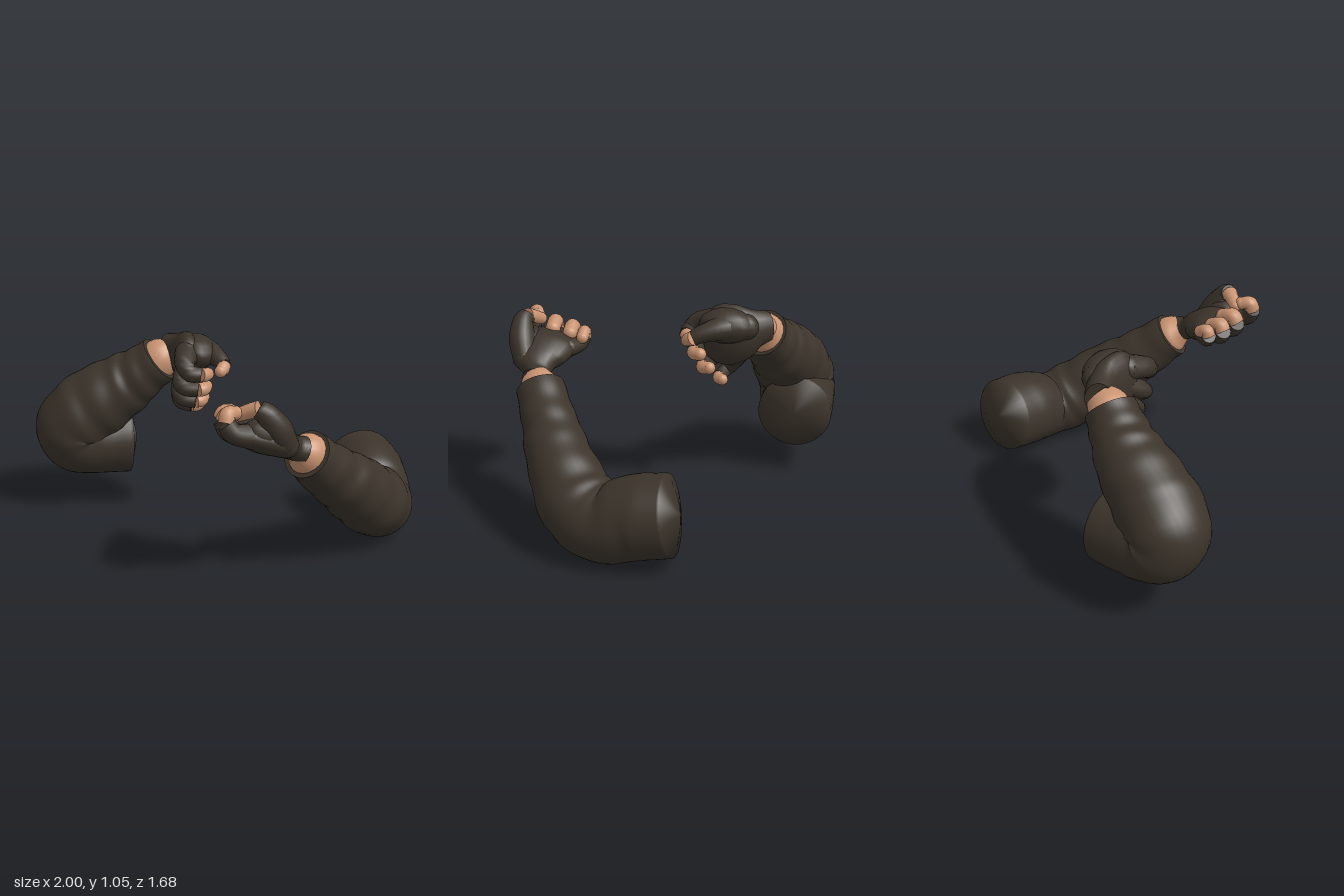
import * as THREE from 'three';
import { mergeGeometries } from 'three/addons/utils/BufferGeometryUtils.js';

const cloth = new THREE.MeshStandardMaterial({ color: 0x3c342b });
cloth.name = 'dark cloth';
const skin = new THREE.MeshStandardMaterial({ color: 0xc99371 });
skin.name = 'skin';

// Lofts elliptical rings along a smooth path. Each row: x, y, z, radius along axis, other radius.
function loft(rows, axis, { rings = 24, sides = 20, fold = 0, bulge = 0 } = {}) {
  const path = new THREE.CatmullRomCurve3(rows.map(r => new THREE.Vector3(r[0], r[1], r[2])), false, 'catmullrom', 0.5);
  const size = new THREE.CatmullRomCurve3(rows.map(r => new THREE.Vector3(r[3], r[4] ?? r[3], 0)), false, 'catmullrom', 0.5);
  const pos = [], idx = [], ref = new THREE.Vector3(...axis).normalize();
  const ends = [];
  for (let i = 0; i <= rings; i++) {
    const t = i / rings, c = path.getPoint(t), s = size.getPoint(t), T = path.getTangent(t);
    const u = ref.clone().addScaledVector(T, -ref.dot(T)).normalize();
    const v = new THREE.Vector3().crossVectors(T, u);
    if (i === 0 || i === rings) ends.push([c, T]);
    for (let j = 0; j < sides; j++) {
      const a = j / sides * Math.PI * 2;
      // cloth folds grow toward the cuff
      const k = 1 + fold * Math.min(1, t * 1.6) * (Math.sin(t * 52 + 1.6 * Math.sin(a + 1)) + 0.5 * Math.sin(t * 31 + 2 * a));
      const p = c.clone()
        .addScaledVector(u, Math.cos(a) * Math.max(s.x, 0.003) * k)
        .addScaledVector(v, Math.sin(a) * Math.max(s.y, 0.003) * k);
      pos.push(p.x, p.y, p.z);
    }
  }
  for (let i = 0; i < rings; i++) for (let j = 0; j < sides; j++) {
    const a = i * sides + j, b = i * sides + (j + 1) % sides;
    idx.push(a, b, a + sides, b, b + sides, a + sides);
  }
  // end caps: a bulging start shares its rim for soft shading, flat ends stay crisp
  ends.forEach(([c, T], e) => {
    let rim = e ? rings * sides : 0;
    if (e || !bulge) {
      const copy = pos.slice(rim * 3, (rim + sides) * 3);
      rim = pos.length / 3;
      pos.push(...copy);
    }
    const centre = pos.length / 3, m = c.clone().addScaledVector(T, e ? 0 : -bulge);
    pos.push(m.x, m.y, m.z);
    for (let j = 0; j < sides; j++) {
      const a = rim + j, b = rim + (j + 1) % sides;
      idx.push(centre, e ? a : b, e ? b : a);
    }
  });
  const g = new THREE.BufferGeometry();
  g.setAttribute('position', new THREE.Float32BufferAttribute(pos, 3));
  g.setIndex(idx);
  g.computeVertexNormals();
  // rounded shading over the bulging end
  if (bulge) for (let j = 0; j < sides; j++) {
    const n = new THREE.Vector3().fromArray(pos, j * 3).sub(ends[0][0]).normalize().addScaledVector(ends[0][1], -0.5).normalize();
    g.attributes.normal.setXYZ(j, n.x, n.y, n.z);
  }
  return g;
}

function add(group, name, geometry, material) {
  const m = new THREE.Mesh(geometry, material);
  m.name = name;
  group.add(m);
}

function ball(p, rx, ry = rx, rz = rx) {
  const g = new THREE.SphereGeometry(1, 16, 10).scale(rx, ry, rz).translate(p[0], p[1], p[2]);
  g.deleteAttribute('uv');
  return g;
}

// Finger: glove up to the third row from the end, then bare skin with a round tip.
function finger(group, name, rows, axis) {
  const opt = { rings: 10, sides: 12 }, split = rows.length - 3;
  add(group, name + 'Glove', mergeGeometries([loft(rows.slice(0, split + 1), axis, opt), ball(rows[0], rows[0][3])]), cloth);
  const bare = rows.slice(split).map(r => [r[0], r[1], r[2], r[3] * 0.95]);
  const tip = bare[bare.length - 1];
  add(group, name + 'Tip', mergeGeometries([loft(bare, axis, opt), ball(tip, tip[3])]), skin);
}

function buildArm(name, d) {
  const g = new THREE.Group();
  g.name = name;
  add(g, 'sleeve', loft(d.sleeve, d.sleeveAxis, { rings: 72, sides: 36, fold: 0.02, bulge: 0.05 }), cloth);
  add(g, 'wrist', loft(d.wrist, d.sleeveAxis, { rings: 8 }), skin);
  add(g, 'glovePalm', loft(d.palm, d.palmAxis), cloth);
  add(g, 'thumbWeb', ball(d.web, ...d.web.slice(3)), cloth);
  for (const [key, rows] of Object.entries(d.fingers)) finger(g, key, rows, d.fingerAxis);
  return g;
}

const leftArm = {
  sleeveAxis: [0.6, 0.8, 0],
  sleeve: [
    [0.79, 0.262, -0.215, 0.205], [0.79, 0.235, -0.05, 0.21], [0.785, 0.185, 0.12, 0.183, 0.2], [0.705, 0.235, 0.27, 0.19, 0.2],
    [0.55, 0.38, 0.41, 0.172], [0.4, 0.51, 0.51, 0.145], [0.25, 0.655, 0.61, 0.125],
  ],
  wrist: [[0.28, 0.63, 0.59, 0.11], [0.235, 0.67, 0.62, 0.1], [0.19, 0.7, 0.64, 0.065]],
  palmAxis: [0, 0.08, 1],
  palm: [
    [0.22, 0.69, 0.64, 0.078, 0.07], [0.17, 0.71, 0.65, 0.07, 0.062], [0.1, 0.755, 0.67, 0.135, 0.075],
    [0, 0.795, 0.67, 0.165, 0.085], [-0.08, 0.815, 0.655, 0.155, 0.065], [-0.12, 0.825, 0.645, 0.11, 0.04],
    [-0.135, 0.83, 0.64, 0.01, 0.01],
  ],
  web: [0.0, 0.83, 0.755, 0.11, 0.08, 0.075],
  fingerAxis: [0, 0, 1],
  fingers: {
    thumb: [[0.11, 0.76, 0.74, 0.065], [0.06, 0.85, 0.77, 0.072], [0.005, 0.93, 0.78, 0.056], [-0.03, 0.952, 0.765, 0.046], [-0.065, 0.942, 0.745, 0.04], [-0.11, 0.92, 0.72, 0.035]],
    index: [[-0.06, 0.82, 0.76, 0.062], [-0.15, 0.85, 0.785, 0.051], [-0.185, 0.9, 0.778, 0.044], [-0.175, 0.94, 0.765, 0.04], [-0.135, 0.935, 0.74, 0.036]],
    middle: [[-0.06, 0.805, 0.67, 0.06], [-0.14, 0.815, 0.665, 0.052], [-0.175, 0.86, 0.655, 0.046], [-0.15, 0.897, 0.65, 0.044], [-0.088, 0.876, 0.645, 0.043]],
    ring: [[-0.05, 0.8, 0.59, 0.055], [-0.135, 0.805, 0.565, 0.048], [-0.165, 0.845, 0.552, 0.045], [-0.145, 0.878, 0.552, 0.043], [-0.088, 0.856, 0.55, 0.042]],
    pinky: [[-0.03, 0.79, 0.54, 0.05], [-0.1, 0.795, 0.5, 0.042], [-0.13, 0.83, 0.478, 0.038], [-0.115, 0.862, 0.475, 0.036], [-0.07, 0.84, 0.475, 0.035]],
  },
};

const rightArm = {
  sleeveAxis: [0, 0, 1],
  sleeve: [
    [-0.47, 0.365, -0.635, 0.205], [-0.62, 0.372, -0.63, 0.205], [-0.755, 0.4, -0.61, 0.217, 0.212], [-0.775, 0.485, -0.595, 0.218, 0.213],
    [-0.66, 0.597, -0.573, 0.208], [-0.5, 0.708, -0.54, 0.177], [-0.4, 0.785, -0.505, 0.148], [-0.305, 0.865, -0.47, 0.13],
  ],
  wrist: [[-0.34, 0.83, -0.48, 0.115], [-0.285, 0.88, -0.475, 0.107], [-0.235, 0.915, -0.475, 0.075]],
  palmAxis: [0, 0.95, 0.2],
  palm: [
    [-0.255, 0.915, -0.5, 0.085, 0.068], [-0.215, 0.915, -0.45, 0.1, 0.072], [-0.18, 0.9, -0.38, 0.15, 0.077],
    [-0.175, 0.88, -0.29, 0.17, 0.08], [-0.185, 0.87, -0.22, 0.145, 0.068], [-0.195, 0.87, -0.18, 0.09, 0.04],
    [-0.2, 0.865, -0.165, 0.01, 0.01],
  ],
  web: [-0.125, 0.945, -0.3, 0.105, 0.094, 0.15],
  fingerAxis: [0, 1, 0],
  fingers: {
    thumb: [[-0.14, 0.94, -0.4, 0.07], [-0.07, 0.945, -0.29, 0.066], [-0.025, 0.925, -0.2, 0.05], [-0.008, 0.9, -0.145, 0.041], [-0.016, 0.89, -0.125, 0.039], [-0.032, 0.88, -0.11, 0.035]],
    index: [[-0.19, 0.95, -0.23, 0.07], [-0.22, 0.925, -0.13, 0.055], [-0.2, 0.885, -0.09, 0.047], [-0.145, 0.875, -0.083, 0.041], [-0.12, 0.87, -0.095, 0.039], [-0.1, 0.865, -0.125, 0.037]],
    middle: [[-0.2, 0.86, -0.24, 0.06], [-0.235, 0.815, -0.17, 0.048], [-0.215, 0.79, -0.138, 0.043], [-0.15, 0.782, -0.122, 0.041], [-0.12, 0.782, -0.13, 0.039], [-0.1, 0.785, -0.165, 0.037]],
    ring: [[-0.2, 0.8, -0.29, 0.058], [-0.235, 0.75, -0.235, 0.047], [-0.22, 0.716, -0.19, 0.042], [-0.155, 0.705, -0.172, 0.04], [-0.125, 0.705, -0.178, 0.038], [-0.105, 0.71, -0.215, 0.036]],
    pinky: [[-0.2, 0.76, -0.35, 0.052], [-0.225, 0.695, -0.31, 0.042], [-0.215, 0.665, -0.28, 0.037], [-0.16, 0.65, -0.26, 0.035], [-0.135, 0.648, -0.262, 0.034], [-0.115, 0.648, -0.285, 0.032]],
  },
};

export function createModel() {
  const model = new THREE.Group();
  model.name = 'glovedArms';
  model.add(buildArm('leftArm', leftArm), buildArm('rightArm', rightArm));
  return model;
}
